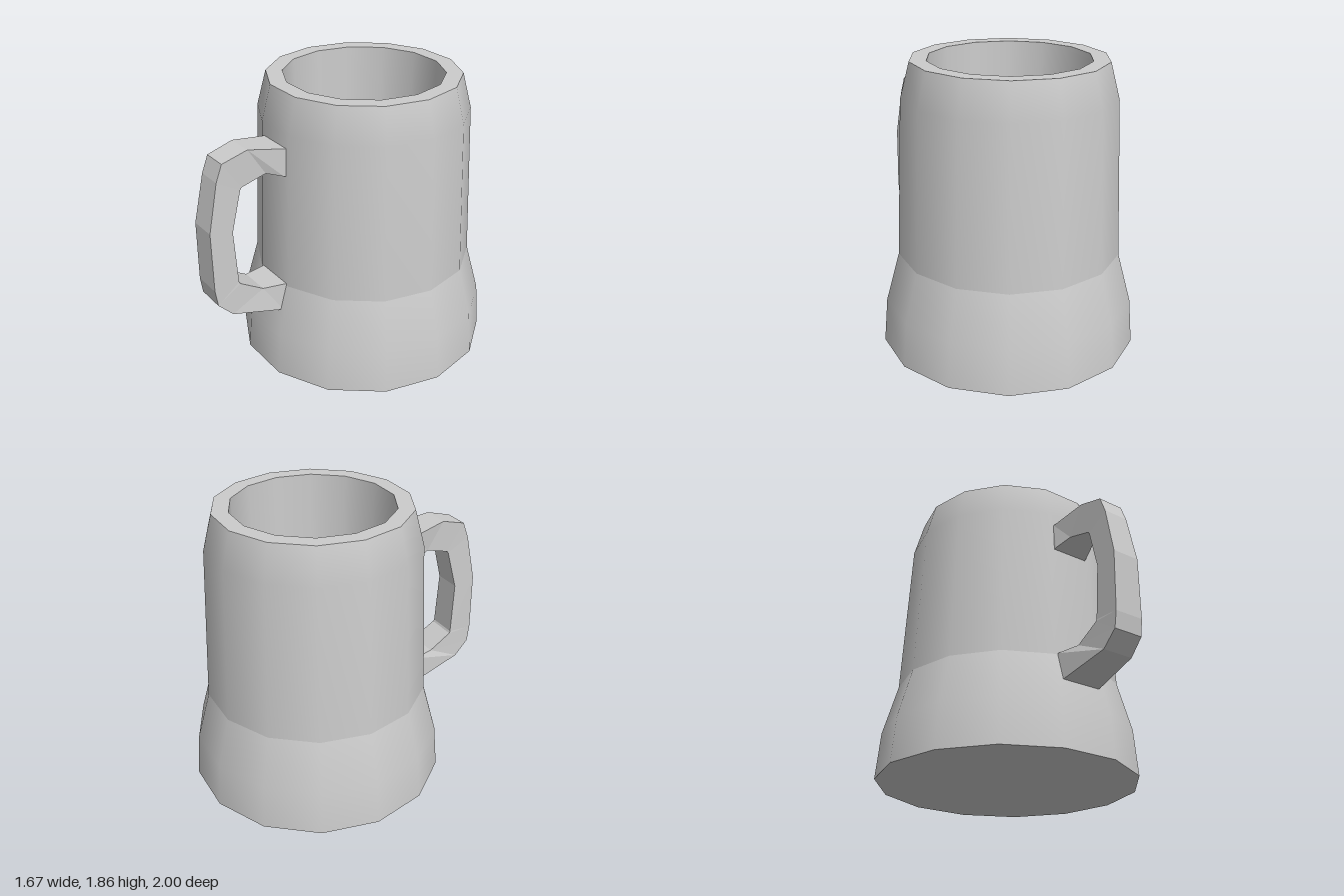
import * as THREE from 'three';

const SIDES = 14;
const BODY_Z = -0.186;

// Profiles are [radius, height] lists; each one is smooth, with sharp edges between them
const PROFILES = {
  underside: [[0, 0], [0.835, 0]],
  foot: [[0.835, 0], [0.81, 0.295], [0.722, 0.615]],
  wall: [[0.722, 0.615], [0.677, 1.63], [0.617, 1.856]],
  rim: [[0.617, 1.856], [0.512, 1.856]],
  innerWall: [[0.512, 1.856], [0.465, 0.2]],
  innerFloor: [[0.465, 0.2], [0, 0.2]],
};

// Handle stations from top to bottom: [outer z, outer y, inner z, inner y, half width]
const STATIONS = [
  [0.44, 1.538, 0.46, 1.355, 0.128],
  [0.48, 1.545, 0.5, 1.37, 0.123],
  [0.72, 1.588, 0.605, 1.406, 0.09],
  [0.89, 1.54, 0.77, 1.36, 0.085],
  [0.932, 1.433, 0.78, 1.345, 0.085],
  [1.0, 1.12, 0.85, 1.085, 0.092],
  [1.0, 0.727, 0.832, 0.735, 0.098],
  [0.985, 0.62, 0.825, 0.722, 0.1],
  [0.89, 0.524, 0.67, 0.63, 0.105],
  [0.545, 0.44, 0.515, 0.626, 0.138],
  [0.51, 0.432, 0.48, 0.626, 0.14],
];

function handleGeometry() {
  const rings = STATIONS.map(([oz, oy, iz, iy, w]) => [
    [w, oy, oz], [-w, oy, oz], [-w, iy, iz], [w, iy, iz],
  ]);
  const positions = [];
  const quad = (a, b, c, d) => positions.push(...a, ...b, ...c, ...a, ...c, ...d);
  for (let i = 0; i < rings.length - 1; i++) {
    const [p, q] = [rings[i], rings[i + 1]];
    for (let k = 0; k < 4; k++) {
      const n = (k + 1) % 4;
      quad(p[k], p[n], q[n], q[k]);
    }
  }
  const geometry = new THREE.BufferGeometry();
  geometry.setAttribute('position', new THREE.Float32BufferAttribute(positions, 3));
  geometry.computeVertexNormals();
  return geometry;
}

export function createModel() {
  const model = new THREE.Group();
  model.name = 'mug';

  // Hollow body, turned so a flat side faces the handle
  const body = new THREE.Group();
  body.name = 'body';
  body.position.z = BODY_Z;
  const smooth = new THREE.MeshStandardMaterial({ color: 0xcccccc, side: THREE.DoubleSide });
  for (const [name, profile] of Object.entries(PROFILES)) {
    const points = profile.map(([r, y]) => new THREE.Vector2(r, y));
    const mesh = new THREE.Mesh(new THREE.LatheGeometry(points, SIDES, Math.PI / 2), smooth);
    mesh.name = name;
    body.add(mesh);
  }
  model.add(body);

  // Faceted handle, flaring where it meets the wall
  const faceted = new THREE.MeshStandardMaterial({ color: 0xcccccc, flatShading: true });
  const handle = new THREE.Mesh(handleGeometry(), faceted);
  handle.name = 'handle';
  model.add(handle);

  return model;
}
